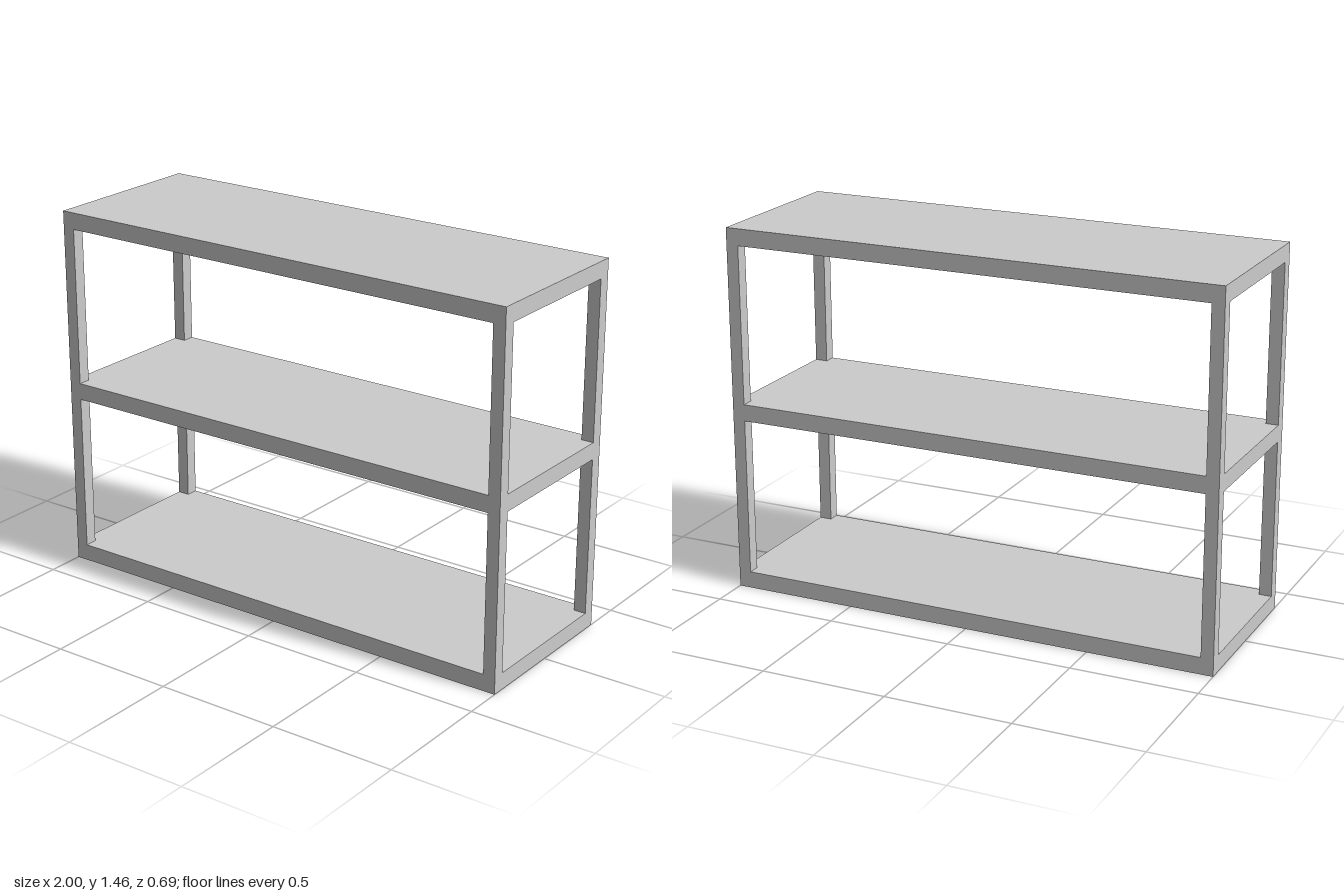
import * as THREE from 'three';

const W = 2, D = 0.695, H = 1.463; // overall size
const BAR = 0.05;                  // width of rails and posts
const RAIL = 0.067;                // rail height
const PANEL = 0.027;               // shelf panel thickness
const LEVELS = [0, (H - RAIL) / 2, H - RAIL];

const rectangle = (Type, w, d) => new Type([
  new THREE.Vector2(-w / 2, -d / 2), new THREE.Vector2(w / 2, -d / 2),
  new THREE.Vector2(w / 2, d / 2), new THREE.Vector2(-w / 2, d / 2),
]);

export function createModel() {
  const model = new THREE.Group();
  model.name = 'shelvingUnit';
  const material = new THREE.MeshStandardMaterial({ color: 0xcccccc });

  const add = (parent, name, geometry, x, y, z) => {
    const mesh = new THREE.Mesh(geometry, material);
    mesh.name = name;
    mesh.position.set(x, y, z);
    parent.add(mesh);
  };

  // Rectangular rail ring, open in the middle
  const outline = rectangle(THREE.Shape, W, D);
  outline.holes.push(rectangle(THREE.Path, W - 2 * BAR, D - 2 * BAR));
  const ring = new THREE.ExtrudeGeometry(outline, { depth: RAIL, bevelEnabled: false });
  ring.rotateX(-Math.PI / 2);

  // Panel flush with the top of the ring, leaving a recess underneath
  const panel = new THREE.BoxGeometry(W - 2 * BAR, PANEL, D - 2 * BAR);

  ['bottom', 'middle', 'top'].forEach((level, i) => {
    const shelf = new THREE.Group();
    shelf.name = level + 'Shelf';
    shelf.position.y = LEVELS[i];
    add(shelf, level + 'Rails', ring, 0, 0, 0);
    add(shelf, level + 'Panel', panel, 0, RAIL - PANEL / 2, 0);
    model.add(shelf);
  });

  // Corner posts between neighbouring shelves
  const gap = LEVELS[1] - RAIL;
  const post = new THREE.BoxGeometry(BAR, gap, BAR);
  for (const [tier, base] of [['lower', LEVELS[0]], ['upper', LEVELS[1]]]) {
    for (const sx of [-1, 1]) {
      for (const sz of [-1, 1]) {
        const name = tier + (sz > 0 ? 'Front' : 'Back') + (sx > 0 ? 'Left' : 'Right') + 'Post';
        add(model, name, post, sx * (W - BAR) / 2, base + RAIL + gap / 2, sz * (D - BAR) / 2);
      }
    }
  }
  return model;
}
